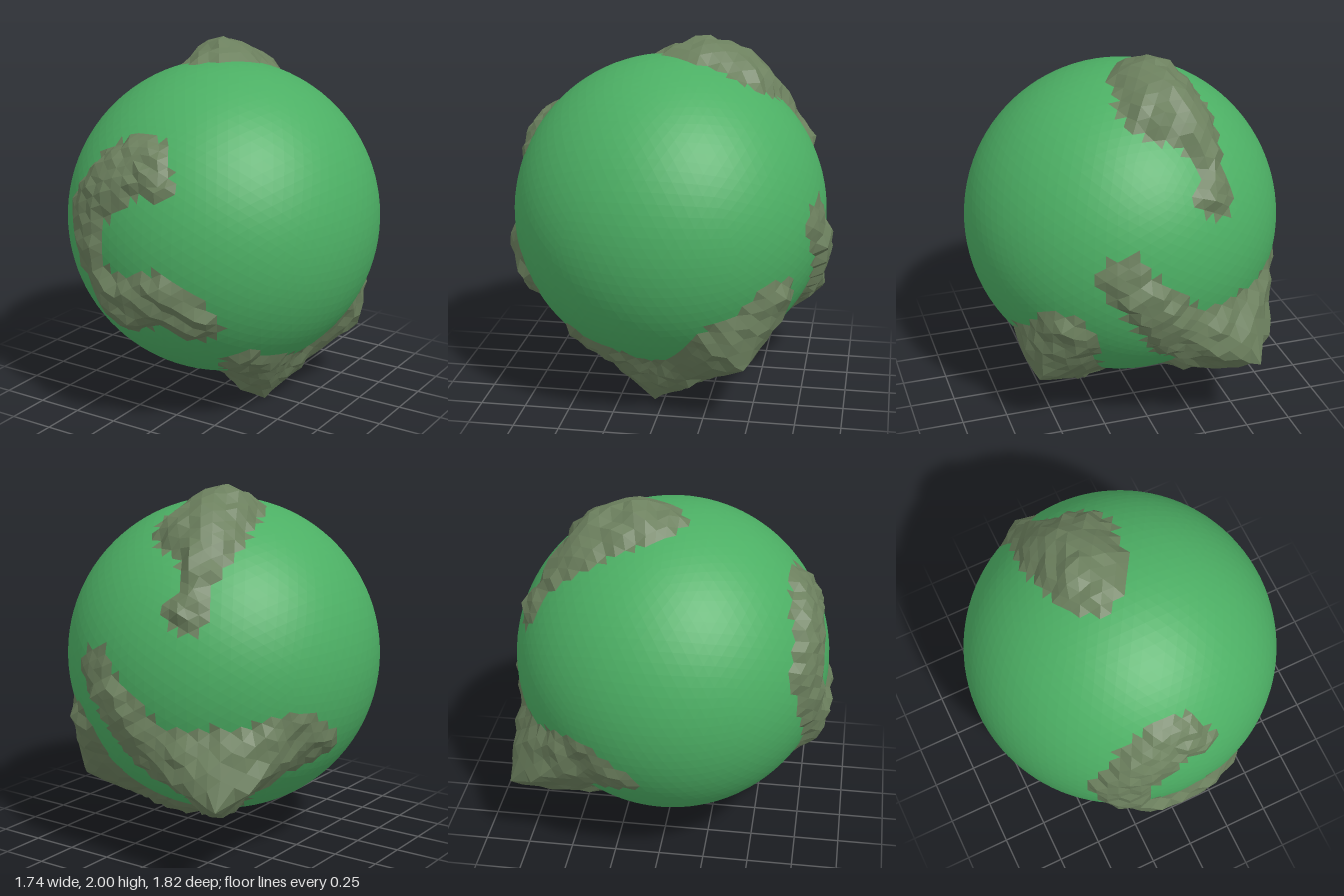
import * as THREE from 'three';
import { mergeVertices } from 'three/addons/utils/BufferGeometryUtils.js';

const R = 0.87, CENTRE = new THREE.Vector3(0, 1.035, 0.01);

// Each continent is a ridge line: summit x, y, z from the globe centre, then half width to the coast
const ridge = (...nodes) => nodes.map(([x, y, z, width]) => {
  const top = new THREE.Vector3(x, y, z);
  return { top, foot: top.clone().setLength(R), height: top.length() - R, width };
});
const frontRidge = ridge(
  [0.11, 0.37, 0.8, 0.09], [-0.06, 0.48, 0.77, 0.18], [-0.25, 0.37, 0.81, 0.17], [-0.39, 0.15, 0.81, 0.17],
  [-0.32, -0.13, 0.83, 0.12], [-0.13, -0.34, 0.87, 0.18], [0.13, -0.22, 0.88, 0.15], [0.3, -0.36, 0.77, 0.14]);
const topRidge = ridge(
  [-0.13, 0.91, -0.07, 0.15], [-0.13, 0.965, -0.2, 0.23], [-0.15, 0.89, -0.42, 0.27],
  [-0.27, 0.68, -0.57, 0.13], [-0.29, 0.5, -0.69, 0.08], [-0.28, 0.41, -0.75, 0.13]);
const backRidge = ridge(
  [0.24, 0.04, -0.85, 0.13], [0.14, -0.1, -0.9, 0.15], [-0.1, -0.4, -0.83, 0.18],
  [-0.53, -0.6, -0.84, 0.27], [-0.71, -0.33, -0.42, 0.2], [-0.78, -0.36, -0.22, 0.13]);
const backSpur = ridge([-0.53, -0.6, -0.84, 0.27], [-0.24, -0.78, -0.41, 0.13]);
const lowerRidge = ridge(
  [0.41, -0.66, 0.45, 0.13], [0.4, -0.79, 0.22, 0.2], [0.3, -1.035, 0.04, 0.24], [0.42, -0.84, -0.24, 0.22],
  [0.61, -0.69, -0.49, 0.26], [0.52, -0.38, -0.66, 0.17]);
const ridges = [frontRidge, topRidge, backRidge, backSpur, lowerRidge];

// Small uneven bumps, used for the rock and the coastline
const rough = (p) => Math.sin(p.x * 31 + p.y * 17) * Math.sin(p.y * 37 - p.z * 13) * Math.cos(p.z * 29 + p.x * 11);

// How far inland a point lies (0 coast, 1 ridge) and how high the ground is there
function terrain(p) {
  let inland = 0, lift = 0;
  for (const line of ridges) {
    for (let i = 0; i + 1 < line.length; i++) {
      const a = line[i], b = line[i + 1];
      const along = b.foot.clone().sub(a.foot);
      const t = THREE.MathUtils.clamp(p.clone().sub(a.foot).dot(along) / along.lengthSq(), 0, 1);
      const nearest = a.foot.clone().addScaledVector(along, t).setLength(R);
      const width = THREE.MathUtils.lerp(a.width, b.width, t) + 0.02 * rough(p);
      const height = THREE.MathUtils.lerp(a.height, b.height, t);
      const f = Math.max(0, 1 - p.distanceTo(nearest) / width);
      const plateau = Math.min(height, 0.055);
      inland = Math.max(inland, f);
      lift = Math.max(lift, plateau * Math.min(1, f * 2) + (height - plateau) * f ** 1.5);
    }
  }
  return { inland, lift: lift + 0.02 * rough(p) * Math.min(1, inland * 2) };
}

function facetedMesh(name, triangles, color) {
  const geometry = new THREE.BufferGeometry().setFromPoints(triangles);
  geometry.computeVertexNormals();
  const mesh = new THREE.Mesh(geometry, new THREE.MeshStandardMaterial({ color, flatShading: true }));
  mesh.name = name;
  mesh.position.copy(CENTRE);
  return mesh;
}

export function createModel() {
  const ball = new THREE.IcosahedronGeometry(R, 16);
  ball.deleteAttribute('normal');
  ball.deleteAttribute('uv');
  const globe = mergeVertices(ball, 1e-4);
  const base = [];
  for (let i = 0; i < globe.attributes.position.count; i++) {
    base.push(new THREE.Vector3().fromBufferAttribute(globe.attributes.position, i));
  }

  // Sort the facets into sea and land
  const sea = [], land = [], index = globe.index.array;
  for (let i = 0; i < index.length; i += 3) {
    const face = [index[i], index[i + 1], index[i + 2]];
    const middle = new THREE.Vector3();
    face.forEach((v) => middle.add(base[v]));
    (terrain(middle.setLength(R)).inland > 0 ? land : sea).push(...face);
  }

  // Raise the land, leaving the shore joined to the sea
  const shore = new Set(sea);
  const raised = base.map((p, i) => (shore.has(i) ? p : p.clone().setLength(R + Math.max(0.004, terrain(p).lift))));

  // Put a vertex exactly on every summit
  for (const { top, foot } of ridges.flat()) {
    let nearest = 0;
    base.forEach((p, i) => {
      if (p.distanceTo(foot) < base[nearest].distanceTo(foot)) nearest = i;
    });
    raised[nearest] = top;
  }

  const group = new THREE.Group();
  group.name = 'planet';
  group.add(facetedMesh('ocean', sea.map((i) => base[i]), 0x4caf64));
  group.add(facetedMesh('continents', land.map((i) => raised[i]), 0x6c805e));
  return group;
}
